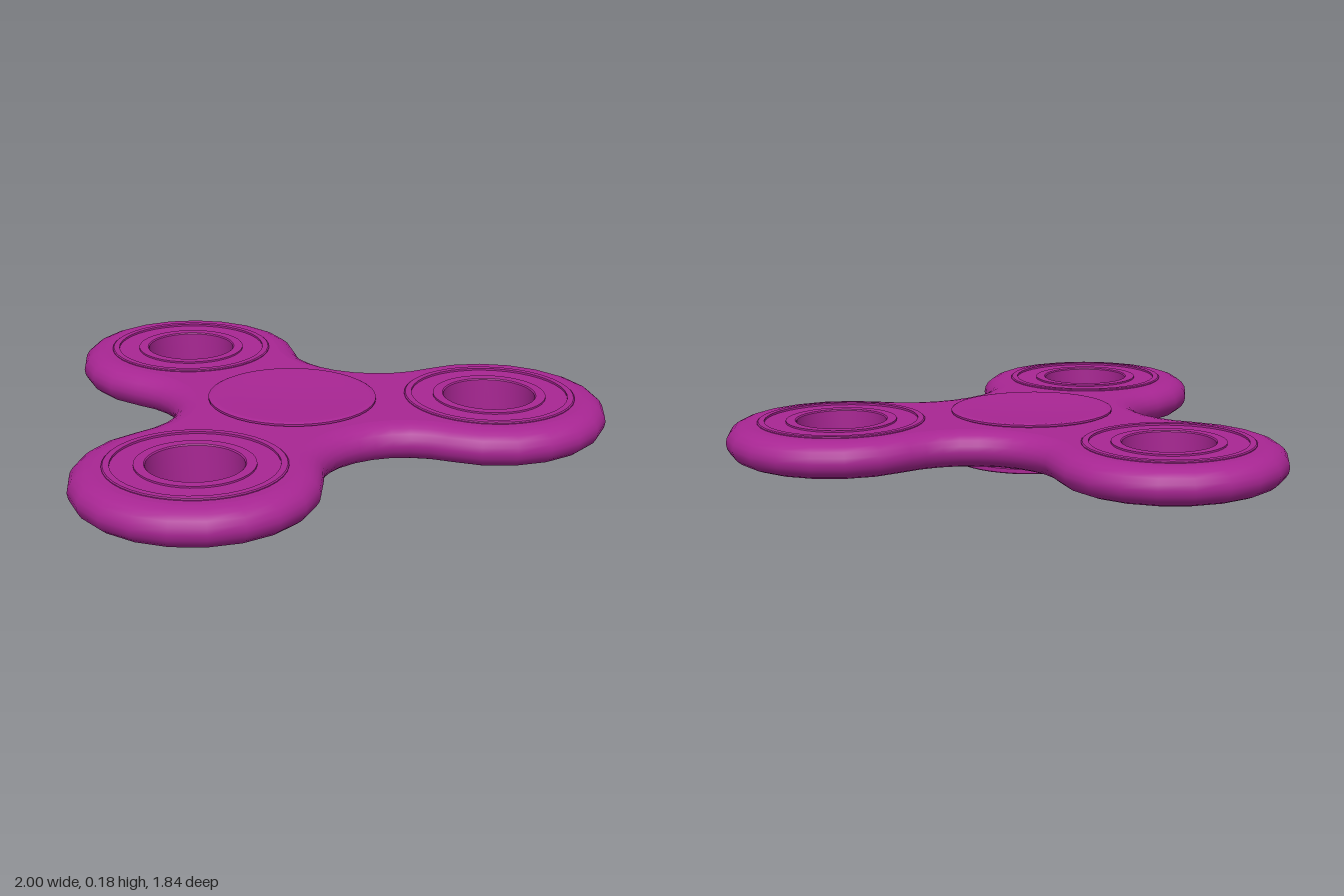
import * as THREE from 'three';
import { toCreasedNormals } from 'three/addons/utils/BufferGeometryUtils.js';

const HUB_Z = 0.168, MID_Y = 0.1, HALF = 0.065;      // hub position, body mid-height and half thickness
const LOBE_DIST = 0.6875, LOBE_R = 0.405;            // three round lobes
const VALLEY_DIST = 0.691, VALLEY_R = 0.284;         // concave arcs joining the lobes
const EDGE = 0.08;                                   // width of the rounded edge
const material = new THREE.MeshStandardMaterial({ color: 0xa82693 });

const polar = (dist, angle) => new THREE.Vector2(dist * Math.cos(angle), dist * Math.sin(angle));
const lobeAngles = [0, 1, 2].map(k => Math.PI / 2 + k * Math.PI * 2 / 3);

// Body outline moved inward by an offset: lobe arcs shrink, valley arcs grow
function outline(offset) {
  const points = [];
  const towardValley = polar(VALLEY_DIST, Math.PI / 3).sub(polar(LOBE_DIST, 0));
  const phi = Math.atan2(towardValley.y, towardValley.x);
  const arc = (centre, r, from, to, n) => {
    for (let i = 0; i < n; i++) points.push(polar(r, from + (to - from) * i / n).add(centre));
  };
  for (const a of lobeAngles) {
    arc(polar(LOBE_DIST, a), LOBE_R - offset, a - phi, a + phi, 14);
    arc(polar(VALLEY_DIST, a + Math.PI / 3), VALLEY_R + offset,
      a + phi - Math.PI, a - Math.PI / 3 - phi, 10);
  }
  return points;
}

// Rounded rim lofted from stacked outlines
function rimGeometry(steps = 10) {
  const positions = [], index = [];
  let n = 0;
  for (let j = 0; j <= steps; j++) {
    const t = -Math.PI / 2 + Math.PI * j / steps;
    const ring = outline(EDGE * (1 - Math.cos(t)));
    n = ring.length;
    for (const p of ring) positions.push(p.x, MID_Y + HALF * Math.sin(t), -p.y);
  }
  for (let j = 0; j < steps; j++) for (let i = 0; i < n; i++) {
    const a = j * n + i, b = j * n + (i + 1) % n;
    index.push(a, b, b + n, a, b + n, a + n);
  }
  const g = new THREE.BufferGeometry();
  g.setAttribute('position', new THREE.Float32BufferAttribute(positions, 3));
  g.setIndex(index);
  g.computeVertexNormals();
  return g;
}

// Flat face with a round opening in each lobe
function faceGeometry() {
  const shape = new THREE.Shape(outline(EDGE));
  for (const a of lobeAngles) {
    const c = polar(LOBE_DIST, a);
    shape.holes.push(new THREE.Path().absarc(c.x, c.y, 0.29, 0, Math.PI * 2, true));
  }
  return new THREE.ShapeGeometry(shape, 20).rotateX(-Math.PI / 2);
}

function lathe(profile, segments) {
  const points = profile.map(([r, y]) => new THREE.Vector2(r, y));
  return toCreasedNormals(new THREE.LatheGeometry(points, segments), 0.5);
}

export function createModel() {
  const model = new THREE.Group();
  model.name = 'spinner';
  const add = (name, geometry, parent = model) => {
    const mesh = new THREE.Mesh(geometry, material);
    mesh.name = name;
    parent.add(mesh);
    return mesh;
  };

  // Three-lobed body
  const body = new THREE.Group();
  body.name = 'body';
  body.position.z = HUB_Z;
  model.add(body);
  add('bodyRim', rimGeometry(), body);
  add('bodyTop', faceGeometry(), body).position.y = MID_Y + HALF;
  const under = add('bodyUnderside', faceGeometry(), body);
  under.rotation.z = Math.PI;              // turn the face downward
  under.position.y = MID_Y - HALF;

  // Bearing rings: outer race, recessed shield, inner race with open bore
  const half = [[0.295, 0.068], [0.291, 0.071], [0.27, 0.071], [0.27, 0.064],
    [0.195, 0.064], [0.195, 0.07], [0.162, 0.07], [0.158, 0.066]];
  const mirrored = half.map(([r, y]) => [r, -y]).reverse();
  const ring = lathe([...half, ...mirrored, half[0]], 40);
  lobeAngles.forEach((a, i) => {
    const p = polar(LOBE_DIST, a);
    add('bearing' + (i + 1), ring, body).position.set(p.x, MID_Y, -p.y);
  });

  // Centre finger caps, slightly dished
  const dish = (rim, centre) => [0.27, 0.2, 0.13, 0.06, 0]
    .map(r => [r, centre + (rim - centre) * (r / 0.27) ** 2]);
  add('topCap', lathe([[0.28, 0.15], [0.28, 0.167], [0.29, 0.169], [0.29, 0.176],
    [0.284, 0.179], ...dish(0.179, 0.17)], 40), body);
  add('bottomCap', lathe([...dish(0, 0.01).reverse(), [0.284, 0], [0.29, 0.004],
    [0.29, 0.018], [0.28, 0.02], [0.28, 0.05]], 40), body);

  return model;
}
